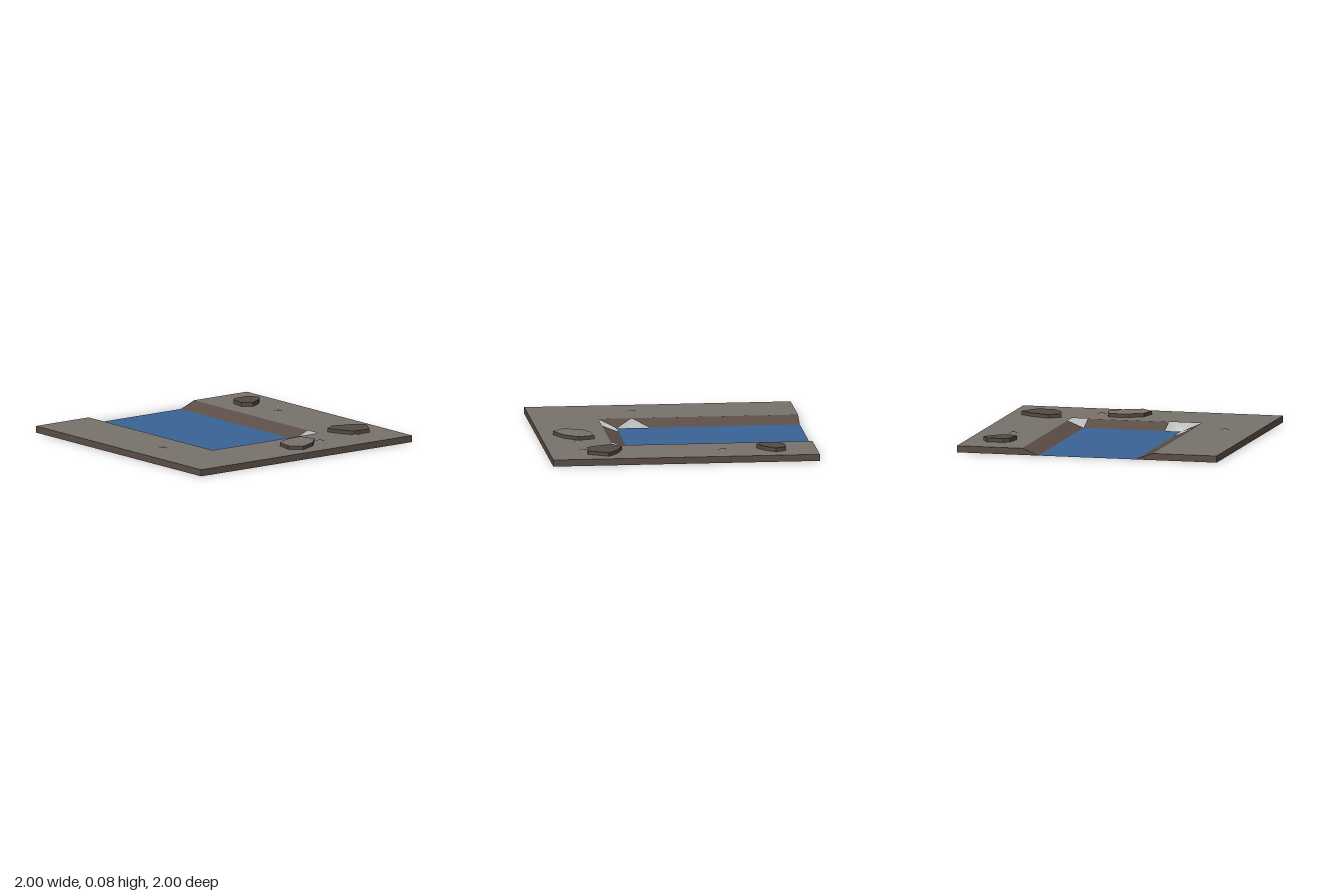
import * as THREE from 'three';

const mat = (name, color, side = THREE.FrontSide) => {
  const m = new THREE.MeshStandardMaterial({ color, side, flatShading: true });
  m.name = name;
  return m;
};

export function createModel() {
  const model = new THREE.Group();
  model.name = 'riverEndTile';
  const ground = mat('groundGrey', 0x78726c, THREE.DoubleSide);
  const dirt = mat('dirtBrown', 0x5b4e46, THREE.DoubleSide);
  const rock = mat('rockBrown', 0x524a45);
  const water = mat('waterBlue', 0x3a6396, THREE.DoubleSide);
  const T = 0.05; // height of the ground surface

  const add = (name, geometry, material) => {
    const mesh = new THREE.Mesh(geometry, material);
    mesh.name = name;
    model.add(mesh);
    return mesh;
  };

  // One mesh from flat convex faces, each a counter-clockwise list of corners
  const faces = (name, list, material) => {
    const pos = [];
    for (const f of list)
      for (let i = 1; i < f.length - 1; i++) pos.push(...f[0], ...f[i], ...f[i + 1]);
    const g = new THREE.BufferGeometry();
    g.setAttribute('position', new THREE.Float32BufferAttribute(pos, 3));
    g.computeVertexNormals();
    add(name, g, material);
  };
  const flat = (x0, z0, x1, z1, y) => [[x0, y, z0], [x0, y, z1], [x1, y, z1], [x1, y, z0]];

  // U-shaped ground surface and the water bed
  faces('groundSurface', [
    flat(-1, -1, -0.5, 1, T),
    flat(0.5, -1, 1, 1, T),
    flat(-0.5, 0.5, 0.5, 1, T),
  ], ground);
  faces('water', [flat(-0.375, -1, 0.375, 0.375, 0)], water);

  // Outer skirt, open underneath; the back wall tapers down along the banks
  faces('skirt', [
    [[-1, 0, 1], [1, 0, 1], [1, T, 1], [-1, T, 1]],
    [[1, 0, 1], [1, 0, -1], [1, T, -1], [1, T, 1]],
    [[-1, 0, -1], [-1, 0, 1], [-1, T, 1], [-1, T, -1]],
    [[-0.375, 0, -1], [-1, 0, -1], [-1, T, -1], [-0.5, T, -1]],
    [[1, 0, -1], [0.375, 0, -1], [0.5, T, -1], [1, T, -1]],
  ], dirt);

  // Sloping banks with gaps at the corners
  faces('leftHandBank', [
    [[-0.5, T, -1], [-0.5, T, 0.25], [-0.375, 0, 0.125], [-0.375, 0, -1]],
    [[-0.5, T, 0.25], [-0.5, T, 0.5], [-0.375, 0, 0.375]],
  ], dirt);
  faces('rightHandBank', [
    [[0.375, 0, -1], [0.375, 0, 0.375], [0.5, T, 0.375], [0.5, T, -1]],
  ], dirt);
  faces('frontBank', [
    [[-0.25, 0, 0.375], [-0.25, T, 0.5], [0.375, T, 0.5], [0.375, 0, 0.375]],
  ], dirt);

  // Flat-topped rocks: outline as [x, z]
  const addRock = (name, outline, top, capMaterial) => {
    const shape = new THREE.Shape(outline.map(([x, z]) => new THREE.Vector2(x, -z)));
    const g = new THREE.ExtrudeGeometry(shape, { depth: top - T, bevelEnabled: false });
    g.rotateX(-Math.PI / 2).translate(0, T, 0);
    add(name, g, [capMaterial, rock]);
  };
  addRock('frontRock', [[-0.01, 0.69], [0.1, 0.625], [0.245, 0.61], [0.28, 0.735],
    [0.19, 0.835], [0.05, 0.9], [-0.035, 0.82]], 0.077, ground);
  addRock('cornerRock', [[0.58, 0.51], [0.67, 0.45], [0.81, 0.5], [0.905, 0.57],
    [0.815, 0.72], [0.68, 0.71], [0.63, 0.64]], 0.077, rock);
  addRock('backRock', [[0.66, -0.73], [0.705, -0.765], [0.83, -0.765], [0.875, -0.685],
    [0.8, -0.605], [0.71, -0.555], [0.64, -0.605]], 0.08, rock);

  // Small five-sided pebbles
  for (const [x, z] of [[-0.75, 0.22], [0.745, -0.3], [0.33, 0.74], [0.665, 0.74]])
    add('pebble', new THREE.CylinderGeometry(0.012, 0.038, 0.011, 5), ground)
      .position.set(x, T + 0.0055, z);

  return model;
}
